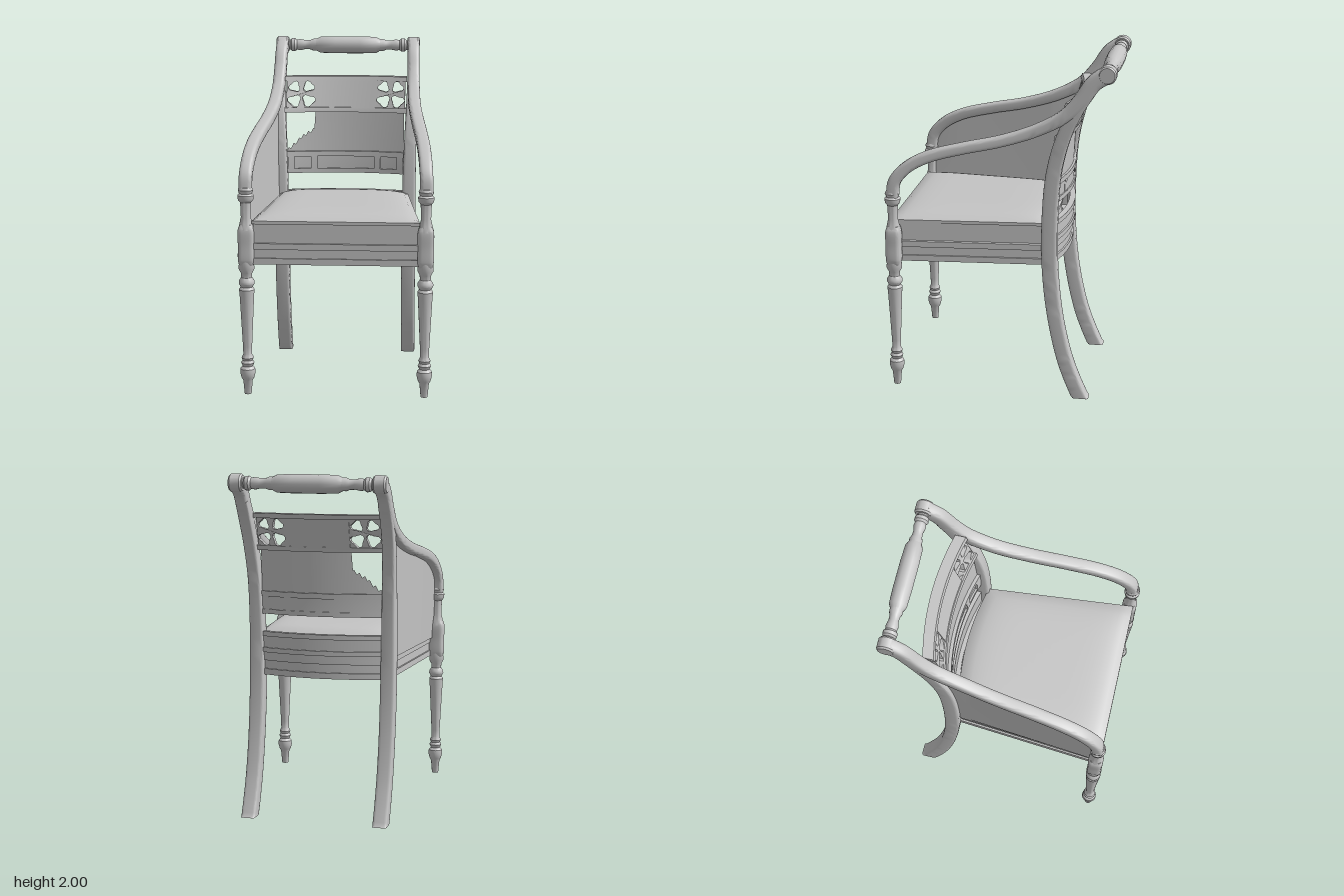
import * as THREE from 'three';
import { toCreasedNormals } from 'three/addons/utils/BufferGeometryUtils.js';

const { lerp, clamp } = THREE.MathUtils;
const grey = new THREE.MeshStandardMaterial({ color: 0xc4c4c4, side: THREE.DoubleSide });
grey.name = 'plain grey';

function add(parent, name, geometry, crease = 0.6) {
  const g = geometry.index ? geometry.toNonIndexed() : geometry;
  const mesh = new THREE.Mesh(toCreasedNormals(g, crease), grey);
  mesh.name = name;
  parent.add(mesh);
  return mesh;
}

function warp(geometry, rule) {
  const p = geometry.attributes.position, v = new THREE.Vector3();
  for (let i = 0; i < p.count; i++) {
    rule(v.fromBufferAttribute(p, i));
    p.setXYZ(i, v.x, v.y, v.z);
  }
  return geometry;
}

// Half-distance between the arms at depth z
const armX = (z) => z < -0.25 ? lerp(0.41, 0.42, clamp((z + 0.6) / 0.35, 0, 1)) : lerp(0.42, 0.505, (z + 0.25) / 0.86);

// Front surface of the bowed, leaning chair back
function backZ(x, y) {
  const base = y < 1.25 ? -0.275 : y < 1.56 ? lerp(-0.275, -0.297, (y - 1.25) / 0.31) : lerp(-0.297, -0.36, (y - 1.56) / 0.21);
  return base - lerp(0.06, 0.047, clamp((y - 1.25) / 0.5, 0, 1)) * (1 - (x / 0.38) ** 2);
}
const bendToBack = (g) => warp(g, (v) => { v.z += backZ(v.x, v.y); });

function bar(x0, x1, y0, y1, depth, inset = 0) {
  const g = new THREE.BoxGeometry(x1 - x0, y1 - y0, depth, Math.ceil((x1 - x0) * 28), 2, 1);
  return bendToBack(g.translate((x0 + x1) / 2, (y0 + y1) / 2, -depth / 2 - inset));
}

// Sweeps a rounded square along rows of [z, y, x, half width, half thickness]
function sweep(rows, side, square, steps = 48, around = 20) {
  const path = new THREE.CatmullRomCurve3(rows.map(([z, y, x]) => new THREE.Vector3(x * side, y, z)));
  const size = new THREE.CatmullRomCurve3(rows.map((r) => new THREE.Vector3(r[3], r[4], r[1])));
  const pos = [], idx = [], soft = (c) => Math.sign(c) * Math.abs(c) ** square;
  for (let i = 0; i <= steps; i++) {
    const p = path.getPoint(i / steps), s = size.getPoint(i / steps), t = path.getTangent(i / steps);
    const len = Math.hypot(t.y, t.z);
    for (let j = 0; j < around; j++) {
      const a = (j + 0.5) / around * Math.PI * 2, w = soft(Math.cos(a)) * s.x, h = soft(Math.sin(a)) * s.y;
      pos.push(p.x + w, p.y + h * t.z / len, p.z - h * t.y / len);
      const k = i * around, n = (j + 1) % around;
      if (i < steps) idx.push(k + j, k + n, k + around + j, k + n, k + around + n, k + around + j);
    }
  }
  const last = steps * around;
  for (let j = 1; j < around - 1; j++) idx.push(0, j + 1, j, last, last + j, last + j + 1);
  const g = new THREE.BufferGeometry();
  g.setAttribute('position', new THREE.Float32BufferAttribute(pos, 3));
  g.setIndex(idx);
  return g;
}

const lathe = (rows, sides = 24) => new THREE.LatheGeometry(rows.map(([r, y]) => new THREE.Vector2(r, y)), sides);

// Seat outline: tapered towards the back, with a bowed rear edge
function outline(inset, rear, bow) {
  const pts = [[-0.475 + inset, -0.632 + inset], [0.475 - inset, -0.632 + inset]];
  for (let i = 0; i <= 16; i++) {
    const u = 1 - i / 8;
    pts.push([u * (0.395 - inset), rear - inset + bow * (1 - u * u)]);
  }
  return pts.map(([x, y]) => new THREE.Vector2(x, y));
}
function ring(y0, y1, inset) {
  const shape = new THREE.Shape(outline(inset, 0.29, 0.07));
  shape.holes.push(new THREE.Path(outline(0.05, 0.29, 0.07)));
  return new THREE.ExtrudeGeometry(shape, { depth: y1 - y0, bevelEnabled: false }).rotateX(-Math.PI / 2).translate(0, y0, 0);
}
function seatSlab(y0, y1, inset, dome = 0) {
  return warp(new THREE.BoxGeometry(2, 1, 2, 24, 4, 24), (v) => {
    const { x, z } = v, t = (z + 1) / 2, up = v.y + 0.5;
    const swell = ((1 - x ** 6) * (1 - z ** 6)) ** 0.6;
    v.z = lerp(-0.25 + inset - 0.05 * (1 - x * x), 0.637 - inset, t);
    v.x = x * (lerp(0.395, 0.475, t) - inset);
    v.y = lerp(y0, y1 + dome * swell, up);
  });
}

export function createModel() {
  const chair = new THREE.Group();
  chair.name = 'armchair';

  // Seat: moulded apron, base and domed cushion
  add(chair, 'apronLowerBead', ring(0.815, 0.85, 0));
  add(chair, 'apronBand', ring(0.85, 0.9, 0.01));
  add(chair, 'apronUpperBead', ring(0.9, 0.935, 0));
  add(chair, 'seatBase', seatSlab(0.9, 0.945, 0.02));
  add(chair, 'seatBox', seatSlab(0.94, 1.045, 0.014));
  add(chair, 'seatCushion', seatSlab(1.045, 1.063, 0.006, 0.042), 0.8);
  add(chair, 'rearSeatRail', bar(-0.37, 0.37, 0.93, 1.07, 0.025));
  for (const y of [0.95, 1.045]) add(chair, 'rearSeatBead', bar(-0.37, 0.37, y, y + 0.028, 0.035));

  const legProfile = [[0, 0.05], [0.02, 0.05], [0.027, 0.13], [0.036, 0.145], [0.044, 0.175], [0.042, 0.2], [0.029, 0.215],
    [0.038, 0.235], [0.029, 0.25], [0.035, 0.265], [0.025, 0.285], [0.026, 0.33], [0.041, 0.63], [0.044, 0.665], [0.034, 0.68],
    [0.045, 0.7], [0.044, 0.715], [0.031, 0.735], [0.032, 0.76], [0.045, 0.785], [0.042, 0.83]];
  const supportProfile = [[0.044, 1.01], [0.036, 1.045], [0.028, 1.08], [0.031, 1.165], [0.043, 1.18], [0.046, 1.205],
    [0.036, 1.215], [0.043, 1.235], [0.036, 1.25], [0, 1.25]];

  for (const side of [-1, 1]) {
    const half = new THREE.Group();
    half.name = side > 0 ? 'leftSide' : 'rightSide';
    chair.add(half);

    // Turned front leg, rounded corner block and arm support
    add(half, 'frontLeg', lathe(legProfile)).position.set(side * 0.503, 0, 0.607);
    add(half, 'armSupport', lathe(supportProfile)).position.set(side * 0.503, 0, 0.607);
    add(half, 'cornerBlock', sweep([[0.607, 0.805, 0.503, 0.037, 0.035], [0.607, 0.83, 0.503, 0.045, 0.042],
      [0.607, 0.92, 0.503, 0.045, 0.042], [0.607, 1.01, 0.503, 0.045, 0.042], [0.607, 1.04, 0.503, 0.034, 0.033]], side, 0.45, 24));

    // Sabre rear leg rising into the back post, cut flat at the floor
    const post = sweep([
      [-0.485, -0.03, 0.393, 0.043, 0.043], [-0.424, 0.11, 0.393, 0.043, 0.043], [-0.375, 0.25, 0.393, 0.043, 0.043],
      [-0.32, 0.5, 0.393, 0.043, 0.043], [-0.287, 0.8, 0.393, 0.043, 0.045], [-0.286, 1.15, 0.395, 0.04, 0.045],
      [-0.31, 1.4, 0.4, 0.037, 0.043], [-0.365, 1.6, 0.408, 0.036, 0.04], [-0.43, 1.74, 0.412, 0.036, 0.038],
      [-0.5, 1.85, 0.412, 0.035, 0.034]], side, 0.3, 64);
    add(half, 'rearLegAndPost', warp(post, (v) => { v.y = Math.max(v.y, 0); }));

    // Sweeping arm and its scrolled top
    const armRows = [[-0.597, 1.95, 0.049], [-0.525, 1.9, 0.047], [-0.45, 1.793, 0.045], [-0.36, 1.703, 0.038],
      [-0.2, 1.617, 0.034], [0, 1.552, 0.032], [0.2, 1.509, 0.032], [0.4, 1.455, 0.033], [0.52, 1.39, 0.034],
      [0.59, 1.31, 0.035], [0.607, 1.22, 0.034]];
    add(half, 'arm', sweep(armRows.map(([z, y, t]) => [z, y, armX(z), 0.037, t]), side, 0.5, 64), 0.9);
    add(half, 'armScroll', lathe([[0, -0.038], [0.043, -0.038], [0.051, -0.028], [0.051, 0.028], [0.043, 0.038], [0, 0.038]], 28)
      .rotateZ(Math.PI / 2)).position.set(side * 0.411, 1.948, -0.598);

    // Pierced fretwork at the end of the crest
    const cx = side * 0.275;
    const fret = new THREE.Shape([-0.09, -0.045, 0, 0.045, 0.09].map((d) => new THREE.Vector2(cx + d, 1.57))
      .concat([0.09, 0.045, 0, -0.045, -0.09].map((d) => new THREE.Vector2(cx + d, 1.75))));
    for (const sx of [-1, 1]) for (const sy of [-1, 1]) {
      const r = sy < 0 ? 0.037 : 0.032, hole = [];
      for (let i = 0; i < 18; i++) {
        const a = i / 18 * Math.PI * 2, reach = r * (1 + 0.2 * Math.cos(3 * a));
        const q = a + Math.atan2(-sy, -sx);
        hole.push(new THREE.Vector2(cx + sx * 0.043 + Math.cos(q) * reach, (sy < 0 ? 1.621 : 1.705) + Math.sin(q) * reach * 0.92));
      }
      fret.holes.push(new THREE.Path(hole));
    }
    add(half, 'fretwork', bendToBack(new THREE.ExtrudeGeometry(fret, { depth: 0.035, bevelEnabled: false }).translate(0, 0, -0.045)));
  }

  // Turned top rail
  const rail = [[0.03, 0.4], [0.03, 0.365], [0.04, 0.355], [0.041, 0.335], [0.031, 0.322], [0.035, 0.3], [0.028, 0.27],
    [0.029, 0.24], [0.037, 0.22], [0.037, 0.2], [0.05, 0.175], [0.053, 0.08]];
  const fullRail = rail.map(([r, x]) => [r, -x]).concat(rail.slice().reverse());
  add(chair, 'topRail', lathe(fullRail, 16).rotateZ(-Math.PI / 2)).position.set(0, 1.947, -0.598);

  // Crest slat
  add(chair, 'crestPanel', bar(-0.19, 0.19, 1.57, 1.755, 0.046, 0.005));
  add(chair, 'crestTopBead', bar(-0.375, 0.375, 1.742, 1.77, 0.062));
  add(chair, 'crestBottomBead', bar(-0.375, 0.375, 1.553, 1.582, 0.055));

  // Lower slat with recessed panels
  add(chair, 'slatTopBead', bar(-0.365, 0.365, 1.28, 1.312, 0.034));
  add(chair, 'slatBottomBead', bar(-0.365, 0.365, 1.178, 1.205, 0.034));
  add(chair, 'slatPanel', bar(-0.36, 0.36, 1.19, 1.3, 0.014, 0.012));
  for (const x of [-0.335, -0.195, 0.195, 0.335]) add(chair, 'slatDivider', bar(x - 0.02, x + 0.02, 1.19, 1.3, 0.028));

  // Woven back panel with a ragged torn corner
  const tornTop = (x) => {
    if (x > -0.19) return 1.56;
    const edge = x < -0.29 ? lerp(1.32, 1.38, (x + 0.36) / 0.07) : lerp(1.39, 1.45, (x + 0.29) / 0.1);
    return edge + 0.01 * Math.sin(x * 210);
  };
  add(chair, 'wovenBackPanel', warp(new THREE.PlaneGeometry(0.72, 1, 96, 4), (v) => {
    v.y = lerp(1.305, tornTop(v.x), v.y + 0.5);
    v.z = backZ(v.x, v.y) - 0.02;
  }));

  // Woven panel under the right arm only
  add(chair, 'sidePanel', warp(new THREE.PlaneGeometry(1, 1, 32, 12), (v) => {
    const u = v.x + 0.5, t = v.y + 0.5, z = lerp(-0.27, 0.6, u);
    const top = z < 0.4 ? lerp(1.65, 1.455, ((z + 0.27) / 0.67) ** 0.75) : 1.455 - 0.215 * ((z - 0.4) / 0.2) ** 2;
    const shift = z < -0.2 ? -0.05 * t * t : 0;
    v.set(-armX(z) + 0.005 + 0.015 * (1 - t), lerp(0.93, top, t), z + shift);
  }));

  return chair;
}
